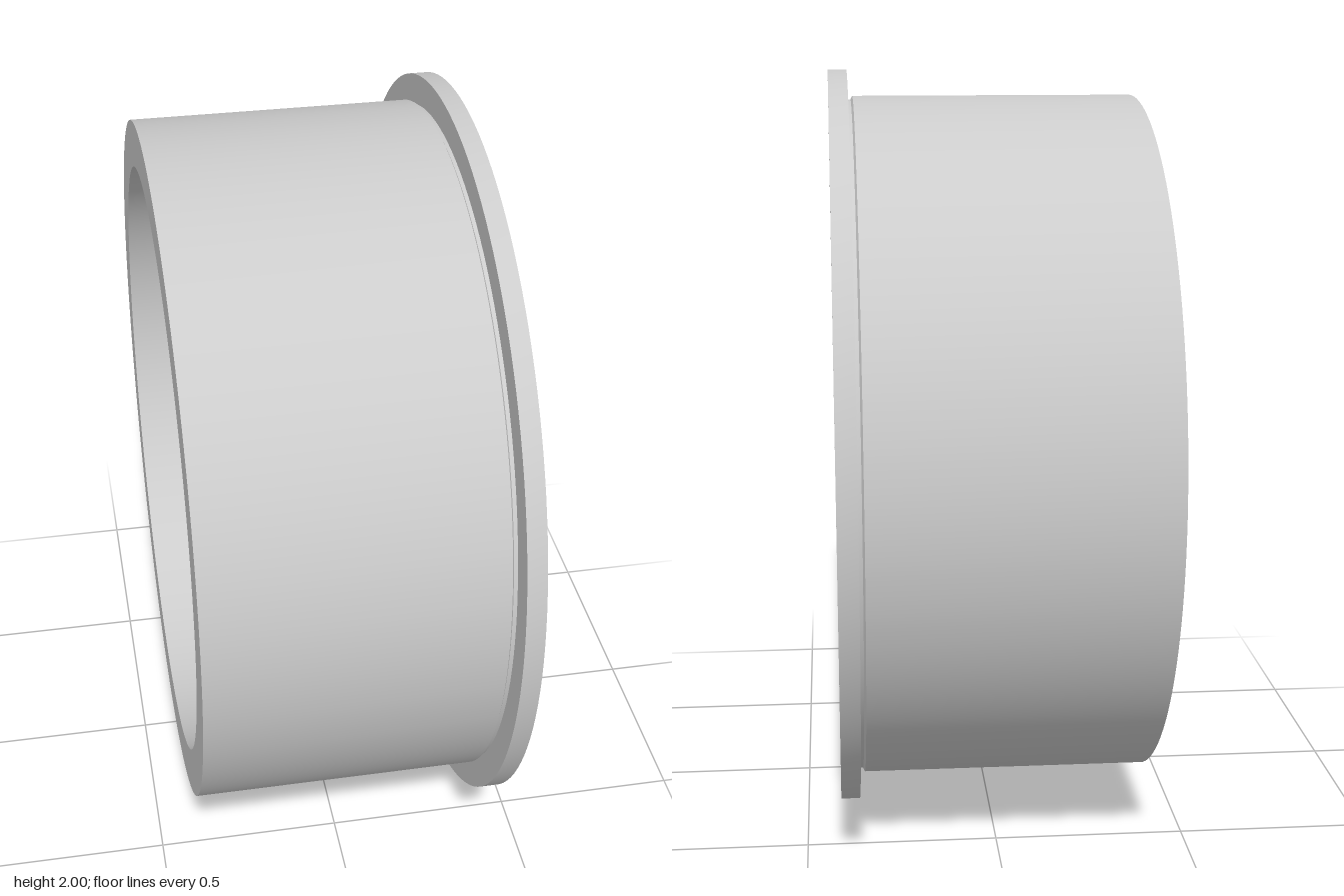
import * as THREE from 'three';
import { toCreasedNormals } from 'three/addons/utils/BufferGeometryUtils.js';

const grey = new THREE.MeshStandardMaterial({ color: 0xcccccc });
const dark = new THREE.MeshStandardMaterial({ color: 0x333338 });

export function createModel() {
  const model = new THREE.Group();
  model.name = 'wheelRim';
  // Parts are made around a +y axle; this group lays the axle along +x.
  const wheel = new THREE.Group();
  wheel.name = 'wheel';
  wheel.rotation.z = -Math.PI / 2;
  wheel.position.y = 1;
  model.add(wheel);

  const add = (name, geometry, material = grey) => {
    const mesh = new THREE.Mesh(geometry, material);
    mesh.name = name;
    wheel.add(mesh);
    return mesh;
  };
  const disc = (name, radius, from, to, material, sides = 96) => {
    const mesh = add(name, new THREE.CylinderGeometry(radius, radius, to - from, sides), material);
    mesh.position.y = (from + to) / 2;
    return mesh;
  };

  // Barrel, outer flange and stepped face ring: one closed profile
  const profile = [
    [0.93, -0.41], [0.93, 0.345], [0.92, 0.35], [0.92, 0.36], [1, 0.36], [1, 0.41],
    [0.86, 0.41], [0.86, 0.385], [0.7, 0.385], [0.7, 0.285], [0.805, 0.285],
    [0.805, -0.41], [0.93, -0.41],
  ].map(([r, y]) => new THREE.Vector2(r, y));
  add('rimBarrel', toCreasedNormals(new THREE.LatheGeometry(profile, 128), 0.4));

  // Hub plate with sixteen tapered spokes
  const spokes = 16, outline = [];
  const polar = (r, degrees) => {
    const a = THREE.MathUtils.degToRad(degrees);
    return new THREE.Vector2(r * Math.cos(a), r * Math.sin(a));
  };
  for (let i = 0; i < spokes; i++) {
    const a = (i * 360) / spokes;
    outline.push(polar(0.415, a - 7.7), polar(0.705, a - 6.2), polar(0.71, a),
      polar(0.705, a + 6.2), polar(0.415, a + 7.7));
  }
  const plate = new THREE.Shape(outline);
  plate.holes.push(new THREE.Path().absarc(0, 0, 0.27, 0, Math.PI * 2, true));
  const plateGeometry = new THREE.ExtrudeGeometry(plate, { depth: 0.074, bevelEnabled: false, curveSegments: 48 });
  plateGeometry.rotateX(-Math.PI / 2).translate(0, 0.31, 0);
  add('spokedHub', toCreasedNormals(plateGeometry, 0.3));

  // Recessed hub floor and dark centre cap
  disc('hubFloor', 0.272, 0.31, 0.355);
  disc('centreCap', 0.14, 0.35, 0.376, dark);

  // Five hexagonal lug nuts, one at the bottom, each with a corner toward the axle
  for (let i = 0; i < 5; i++) {
    const a = (i / 5) * Math.PI * 2;
    const geometry = new THREE.CylinderGeometry(0.04, 0.04, 0.04, 6).toNonIndexed();
    geometry.computeVertexNormals();
    geometry.rotateY(Math.PI / 2).translate(0.253, 0.368, 0).rotateY(a);
    add('lugNut', geometry);
  }
  return model;
}
